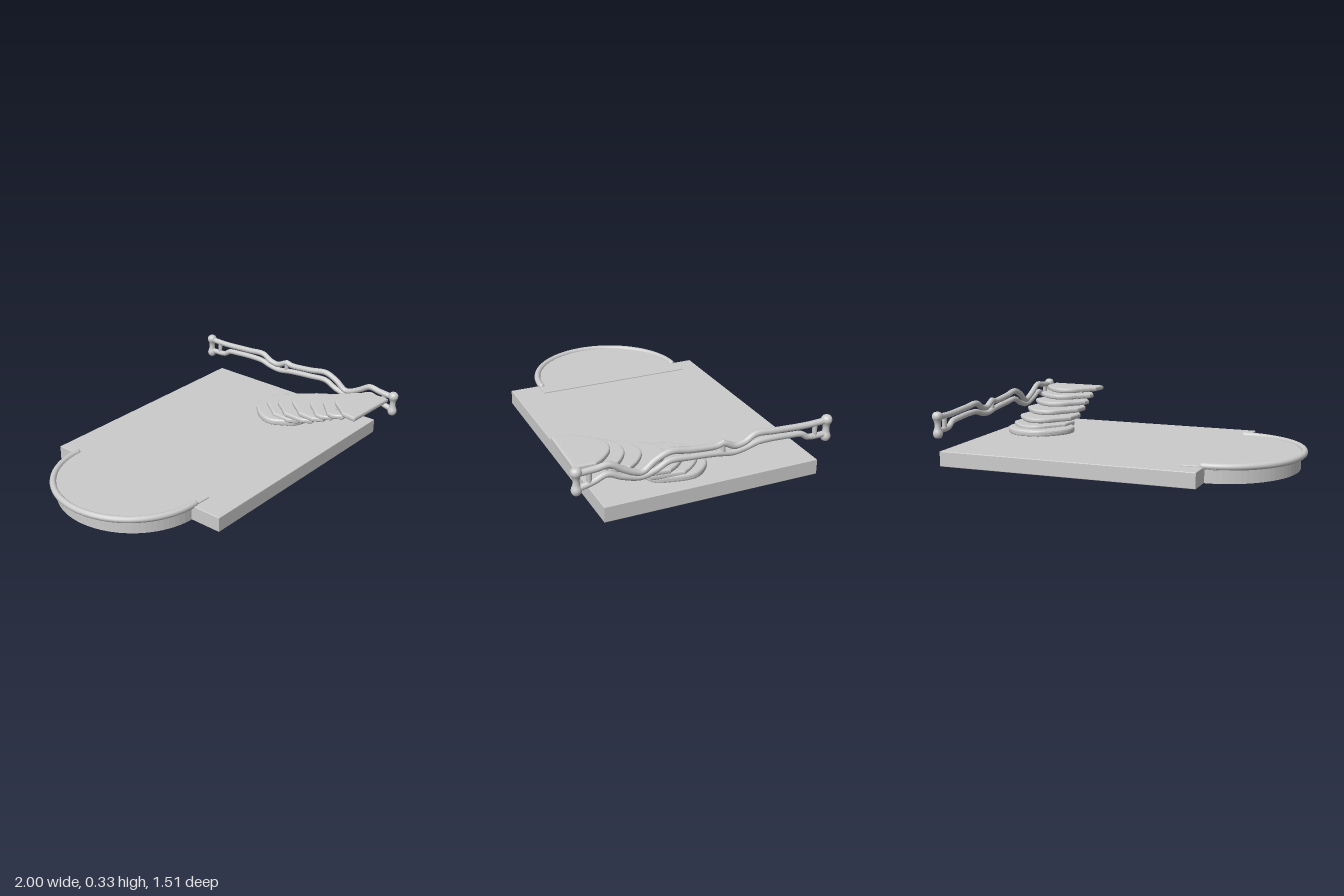
import * as THREE from 'three';

const material = new THREE.MeshStandardMaterial({ color: 0xcccccc });
const V = (x, y, z) => new THREE.Vector3(x, y, z);

function add(parent, name, geometry) {
  const mesh = new THREE.Mesh(geometry, material);
  mesh.name = name;
  parent.add(mesh);
  return mesh;
}

// Horizontal slab from an outline of [x, z] points, between two heights.
function slab(points, bottom, top, bevel = 0) {
  const shape = new THREE.Shape(points.map(([x, z]) => new THREE.Vector2(x, -z)));
  const geometry = new THREE.ExtrudeGeometry(shape, {
    depth: top - bottom - 2 * bevel, bevelEnabled: bevel > 0,
    bevelSize: bevel, bevelThickness: bevel, bevelOffset: -bevel, bevelSegments: 3,
  });
  return geometry.rotateX(-Math.PI / 2).translate(0, bottom + bevel, 0);
}

// Half ellipse bulging towards -x, from the back round to the front.
function halfRound(cx, cz, rx, rz, n = 40) {
  return Array.from({ length: n + 1 }, (_, i) => {
    const a = (i / n) * Math.PI;
    return [cx - rx * Math.sin(a), cz - rz * Math.cos(a)];
  });
}

function tube(points, radius, segments = 120) {
  return new THREE.TubeGeometry(new THREE.CatmullRomCurve3(points), segments, radius, 12);
}

export function createModel() {
  const model = new THREE.Group();
  model.name = 'terrace';

  // Main floor, very slightly skewed
  add(model, 'floor', slab([[-0.535, -0.685], [0.998, -0.665], [0.982, 0.587], [-0.553, 0.56]], 0, 0.09, 0.004));

  // Half-round platform with a raised rim
  const platform = new THREE.Group();
  platform.name = 'halfRoundPlatform';
  model.add(platform);
  add(platform, 'platformBase', slab([...halfRound(-0.53, -0.085, 0.432, 0.45), [-0.5, 0.36], [-0.5, -0.53]], 0, 0.09));
  add(platform, 'platformTop', slab([[-0.408, -0.568], ...halfRound(-0.53, -0.087, 0.45, 0.47), [-0.427, 0.388]], 0.078, 0.098, 0.004));
  const rim = halfRound(-0.53, -0.087, 0.451, 0.456).map(([x, z]) => V(x, 0.095, z));
  add(platform, 'platformRim', tube(rim, 0.019));
  for (const end of [rim[0], rim[rim.length - 1]]) {
    add(platform, 'rimEnd', new THREE.SphereGeometry(0.019, 16, 10)).position.copy(end);
  }

  // Round foot of the stairs with a swollen lip
  const stairs = new THREE.Group();
  stairs.name = 'stairs';
  model.add(stairs);
  const foot = [[0.9, 0.16], [0.912, 0.03], [0.86, -0.05], [0.8, -0.09], [0.73, -0.1], [0.65, -0.09],
    [0.57, -0.03], [0.515, 0.05], [0.505, 0.12], [0.54, 0.19], [0.58, 0.25], [0.72, 0.29], [0.86, 0.26]];
  const footCurve = new THREE.CatmullRomCurve3(foot.map(([x, z]) => V(x, 0, z)), true);
  add(stairs, 'stairFoot', slab(footCurve.getPoints(60).slice(0, -1).map(p => [p.x, p.z]), 0.085, 0.128, 0.015));

  // Thin overlapping treads: [nose z, tail z, bottom y, top y]
  const treads = [
    [-0.05, 0.28, 0.115, 0.147], [0.035, 0.38, 0.147, 0.177], [0.145, 0.46, 0.182, 0.212],
    [0.28, 0.52, 0.214, 0.244], [0.38, 0.6, 0.246, 0.276], [0.458, 0.71, 0.278, 0.308],
  ];
  treads.forEach(([nose, tail, bottom, top], i) => {
    const last = i === treads.length - 1;
    const reach = Math.min(0.18, tail - nose - 0.08);
    const arc = new THREE.CatmullRomCurve3([
      V(0.905, 0, nose + reach * 0.8), V(0.86, 0, nose + reach * 0.42), V(0.79, 0, nose + reach * 0.07),
      V(0.735, 0, nose), V(0.67, 0, nose + reach * 0.12), V(0.61, 0, nose + reach * 0.5), V(0.555, 0, nose + reach * 0.85),
    ]).getPoints(30).map(p => [p.x, p.z]);
    const tailEdge = last ? [[0.54, 0.7], [0.9, 0.716]] : [[0.545, tail - 0.06], [0.58, tail], [0.88, tail]];
    add(stairs, 'tread' + (i + 1), slab([...arc, ...tailEdge], bottom, top, 0.011));
  });
  // Hidden core linking the treads
  for (let i = 0; i < 5; i++) {
    const z = (treads[i + 1][0] + treads[i][1]) / 2;
    add(stairs, 'treadLink', new THREE.BoxGeometry(0.22, 0.02, 0.08))
      .position.set(0.73, treads[i][3], z + 0.03);
  }

  // Wavy railing: two rails given as [z, y]
  const railing = new THREE.Group();
  railing.name = 'railing';
  model.add(railing);
  const railX = z => 0.965 - 0.012 * Math.max(0, z - 0.45) / 0.27;
  const upper = [[0.725, 0.297], [0.62, 0.305], [0.55, 0.314], [0.48, 0.275], [0.42, 0.245], [0.37, 0.235],
    [0.3, 0.283], [0.22, 0.315], [0.1, 0.3], [-0.05, 0.29], [-0.09, 0.298], [-0.16, 0.268], [-0.22, 0.277],
    [-0.28, 0.31], [-0.4, 0.305], [-0.6, 0.296], [-0.725, 0.3]];
  const lower = [[0.725, 0.213], [0.68, 0.222], [0.63, 0.236], [0.56, 0.263], [0.48, 0.232], [0.38, 0.208],
    [0.3, 0.226], [0.22, 0.263], [0.1, 0.258], [-0.05, 0.246], [-0.15, 0.232], [-0.22, 0.241],
    [-0.3, 0.262], [-0.5, 0.258], [-0.57, 0.25], [-0.61, 0.225], [-0.725, 0.22]];
  add(railing, 'upperRail', tube(upper.map(([z, y]) => V(railX(z), y, z)), 0.018));
  add(railing, 'lowerRail', tube(lower.map(([z, y]) => V(railX(z), y, z)), 0.017));

  // Bone-shaped end posts
  const profile = [[0, 0.178], [0.018, 0.182], [0.027, 0.198], [0.027, 0.215], [0.02, 0.236], [0.018, 0.262],
    [0.022, 0.28], [0.03, 0.298], [0.028, 0.316], [0.017, 0.328], [0, 0.331]];
  const outline = new THREE.SplineCurve(profile.map(p => new THREE.Vector2(...p)))
    .getPoints(40).map(p => new THREE.Vector2(Math.max(0, p.x), p.y));
  for (const [x, z] of [[0.952, 0.722], [0.965, -0.728]]) {
    add(railing, 'endPost', new THREE.LatheGeometry(outline, 20)).position.set(x, 0, z);
  }

  // Small joints between the rails
  for (const [z, y, h] of [[0.655, 0.27, 0.07], [-0.09, 0.275, 0.06], [-0.655, 0.258, 0.075]]) {
    add(railing, 'railJoint', new THREE.CapsuleGeometry(0.014, h, 4, 10)).position.set(railX(z), y, z);
  }
  return model;
}
